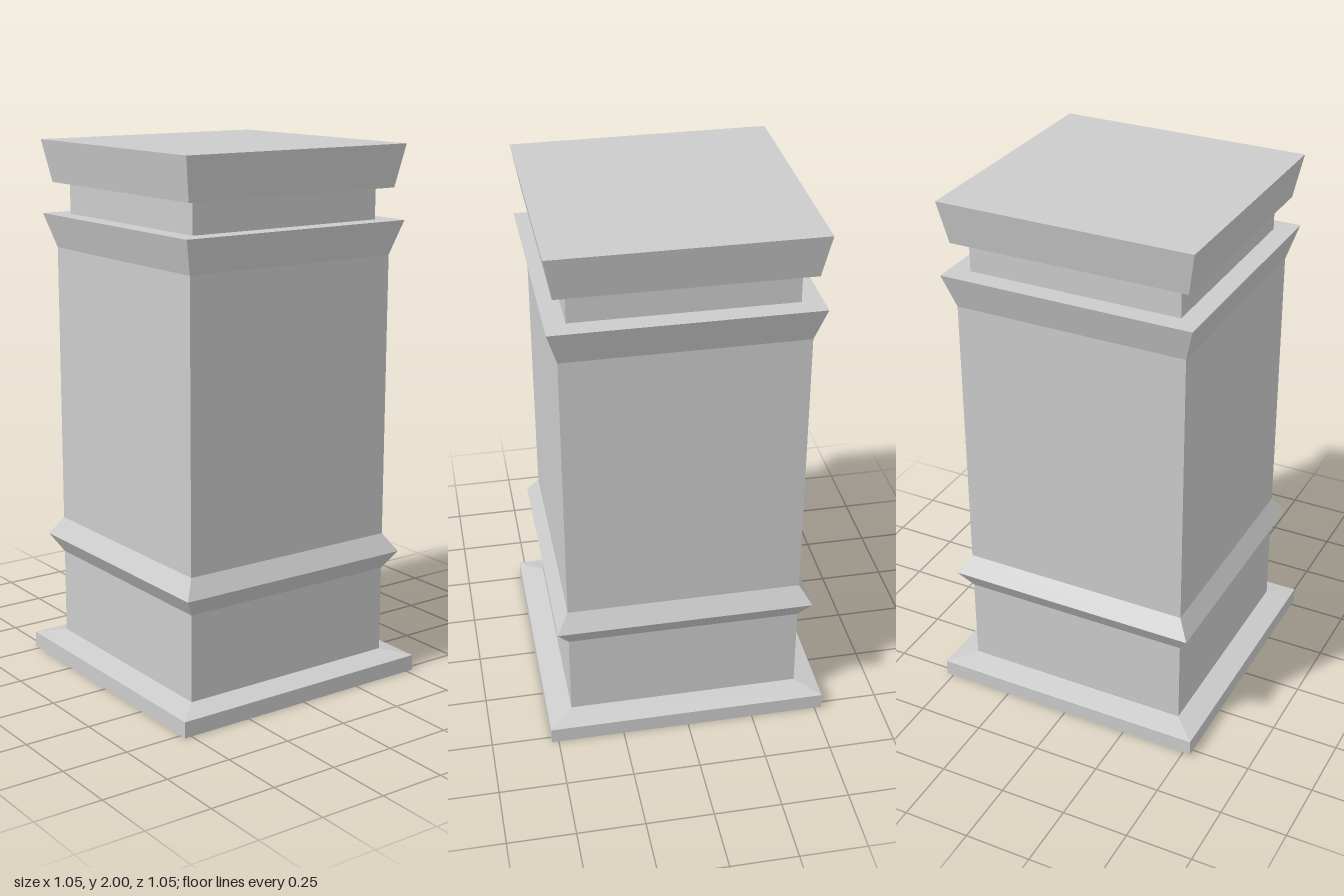
import * as THREE from 'three';

const material = new THREE.MeshStandardMaterial({ color: 0xcccccc, flatShading: true });

// Square moulding: sweeps a [half width, height] profile around four sides
function squareMoulding(name, profile) {
  const points = profile.map(([half, y]) => new THREE.Vector2(half * Math.SQRT2, y));
  const geometry = new THREE.LatheGeometry(points, 4, Math.PI / 4).toNonIndexed();
  geometry.computeVertexNormals();
  const mesh = new THREE.Mesh(geometry, material);
  mesh.name = name;
  return mesh;
}

export function createModel() {
  const group = new THREE.Group();
  group.name = 'squarePedestal';

  const parts = {
    // Foot slab with a shallow sloped top
    plinth: [[0, 0], [0.527, 0], [0.527, 0.06], [0.437, 0.08]],
    lowerShaft: [[0.437, 0.08], [0.437, 0.405]],
    // Pointed band around the shaft
    band: [[0.437, 0.405], [0.481, 0.475], [0.437, 0.543]],
    upperShaft: [[0.437, 0.543], [0.437, 1.6]],
    // Flared collar with a flat ledge running in to the neck
    collar: [[0.437, 1.6], [0.475, 1.727], [0.4, 1.727]],
    neck: [[0.4, 1.727], [0.4, 1.843]],
    // Cap widening upward, with underside and flat top
    cap: [[0.4, 1.843], [0.447, 1.843], [0.476, 2], [0, 2]],
  };
  for (const [name, profile] of Object.entries(parts)) group.add(squareMoulding(name, profile));

  return group;
}
